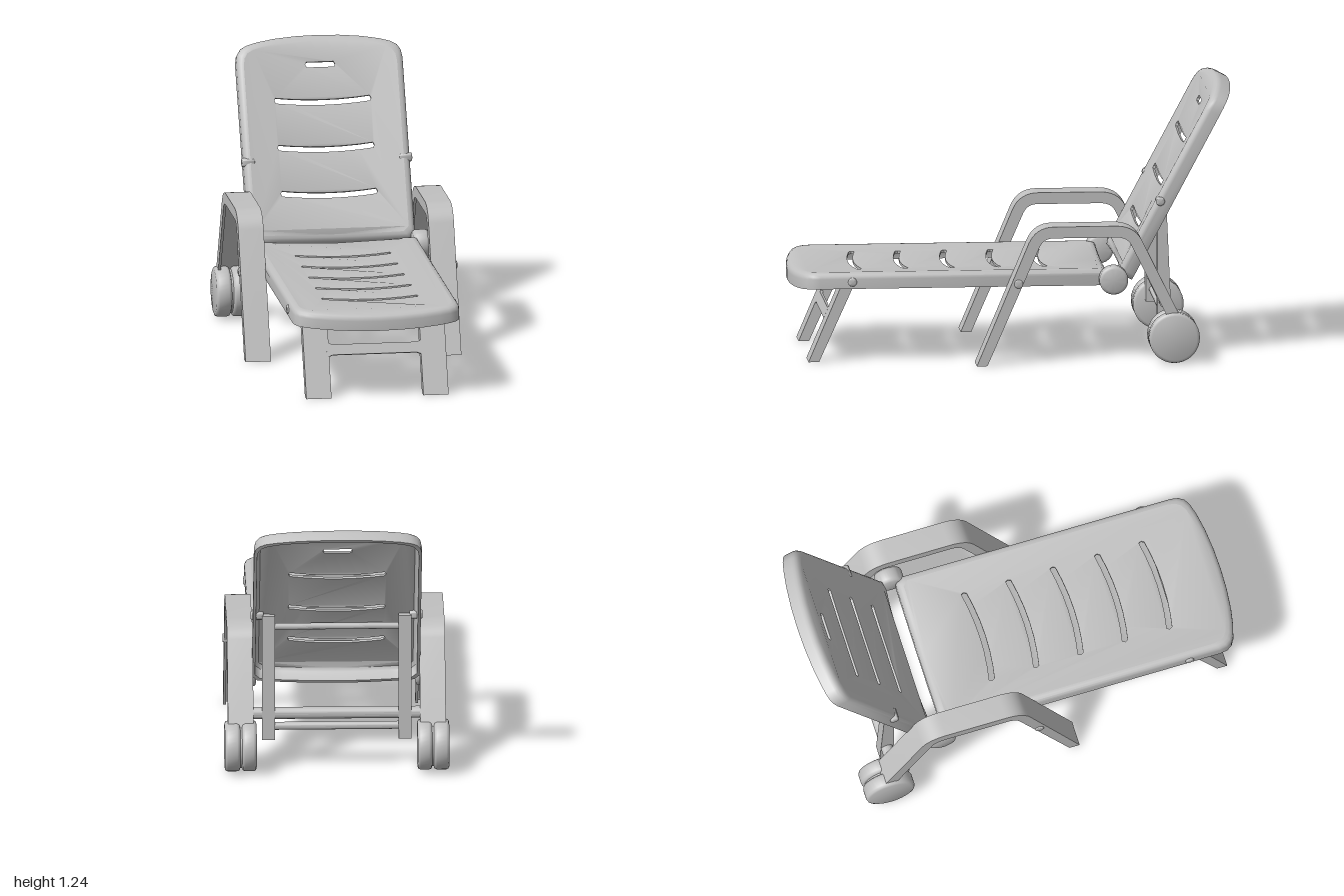
import * as THREE from 'three';
import { toCreasedNormals } from 'three/addons/utils/BufferGeometryUtils.js';

const plastic = new THREE.MeshStandardMaterial({ color: 0xc0c0c0, side: THREE.DoubleSide });
plastic.name = 'grey plastic';

const V = (x, y) => new THREE.Vector2(x, y);

function part(name, geometry, parent, crease = 0.6) {
  const mesh = new THREE.Mesh(toCreasedNormals(geometry, crease), plastic);
  mesh.name = name;
  parent.add(mesh);
  return mesh;
}

// Side profile in (z, y), extruded across x from x0 to x1
function sideExtrude(points, x0, x1) {
  const g = new THREE.ExtrudeGeometry(new THREE.Shape(points), { depth: x1 - x0, bevelEnabled: false });
  return g.rotateY(-Math.PI / 2).translate(x1, 0, 0);
}

// Strip of given thickness following a path on its inner side
function strip(path, thickness) {
  const inner = path.map((p, i) => {
    const a = path[Math.max(i - 1, 0)], b = path[Math.min(i + 1, path.length - 1)];
    const t = b.clone().sub(a).normalize();
    return V(p.x - t.y * thickness, Math.max(0, p.y + t.x * thickness));
  });
  return [...path, ...inner.reverse()];
}

// Hollow U-section: outer web and two side flanges
function channel(name, path, x0, x1, depth, parent) {
  const g = new THREE.Group();
  g.name = name;
  part('web', sideExtrude(strip(path, 0.012), x0, x1), g);
  part('innerFlange', sideExtrude(strip(path, depth), x0, x0 + 0.012), g);
  part('outerFlange', sideExtrude(strip(path, depth), x1 - 0.012, x1), g);
  parent.add(g);
}

// Round-edged disc along x
function disc(name, r, x0, x1, y, z, bevel, parent) {
  const profile = [V(0, x0), V(r - bevel, x0), V(r - bevel * 0.3, x0 + bevel * 0.3), V(r, x0 + bevel),
    V(r, x1 - bevel), V(r - bevel * 0.3, x1 - bevel * 0.3), V(r - bevel, x1), V(0, x1)];
  const g = new THREE.LatheGeometry(profile, 36).rotateZ(-Math.PI / 2);
  part(name, g, parent, 0.9).position.set(0, y, z);
}

function rod(name, r, halfWidth, y, z, parent) {
  const g = new THREE.CylinderGeometry(r, r, halfWidth * 2, 20).rotateZ(Math.PI / 2);
  part(name, g, parent).position.set(0, y, z);
}

// Slot bowed along its length
function slot(s, bow, half = 0.215, w = 0.0125) {
  const xs = [-half, -half * 0.7, -half * 0.35, 0, half * 0.35, half * 0.7, half];
  const mid = (x) => s + bow * (1 - (x / half) ** 2);
  const low = xs.map((x) => V(x, mid(x) - w)), high = xs.map((x) => V(x, mid(x) + w));
  return new THREE.Path([V(-half - 0.006, s), ...low, V(half + 0.006, s), ...high.reverse()]);
}

// Thin slotted panel with a rounded skirt; runs from the hinge along +z
function panel(name, L, holes, parent) {
  const group = new THREE.Group();
  group.name = name;
  const W = 0.38;
  const half = [[0.12, 0], [0.25, 0], [0.355, 0], [W, 0.025], [W, L - 0.12], [0.374, L - 0.085], [0.358, L - 0.06],
    [0.33, L - 0.043], [0.28, L - 0.028], [0.2, L - 0.013], [0.1, L - 0.003]];
  const outline = [[0, 0], ...half, [0, L], ...half.map(([x, s]) => [-x, s]).reverse()];
  const loop = (inset) => outline.map(([x, s]) => V(x * (1 - inset / W), L / 2 + (s - L / 2) * (1 - 2 * inset / L)));
  const dish = (g) => {
    const p = g.attributes.position;
    for (let i = 0; i < p.count; i++) p.setY(i, p.getY(i) - 0.02 * (1 - (p.getX(i) / W) ** 2));
    return g;
  };

  const shape = new THREE.Shape(loop(0.03));
  shape.holes.push(...holes);
  const plate = new THREE.ExtrudeGeometry(shape, { depth: 0.012, bevelEnabled: false });
  part('slottedPlate', dish(plate.rotateX(Math.PI / 2)), group);

  const section = [[0.03, 0], [0.018, -0.003], [0.008, -0.01], [0.002, -0.02], [0, -0.032],
    [0, -0.076], [0.014, -0.076], [0.018, -0.025], [0.03, -0.012]];
  const pos = [], idx = [], n = outline.length;
  section.forEach(([inset, h]) => loop(inset).forEach((p) => pos.push(p.x, h, p.y)));
  for (let r = 0; r < section.length - 1; r++) {
    for (let i = 0; i < n; i++) {
      const j = (i + 1) % n, a = r * n + i, b = r * n + j;
      idx.push(a, b, a + n, b, b + n, a + n);
    }
  }
  const skirt = new THREE.BufferGeometry();
  skirt.setAttribute('position', new THREE.Float32BufferAttribute(pos, 3));
  skirt.setIndex(idx);
  part('skirt', dish(skirt), group, 0.8);
  parent.add(group);
  return group;
}

export function createModel() {
  const model = new THREE.Group();
  model.name = 'sunLounger';

  // Seat and reclined back
  const seatSlots = [0.28, 0.49, 0.70, 0.91, 1.12].map((s) => slot(s, 0.022));
  panel('seat', 1.43, seatSlots, model).position.set(0, 0.42, -0.43);
  const backSlots = [0.225, 0.44, 0.66].map((s) => slot(s, -0.012));
  const back = panel('backrest', 0.97, [...backSlots, slot(0.825, 0, 0.062)], model);
  back.position.set(0, 0.4, -0.465);
  back.rotation.set(THREE.MathUtils.degToRad(62), Math.PI, 0);

  // Armrest path: front foot, over the top, down to the wheel
  const armPath = new THREE.Path();
  armPath.moveTo(0.18, 0);
  armPath.lineTo(-0.055, 0.56);
  armPath.quadraticCurveTo(-0.088, 0.635, -0.17, 0.635);
  armPath.lineTo(-0.45, 0.635);
  armPath.quadraticCurveTo(-0.53, 0.635, -0.565, 0.575);
  armPath.lineTo(-0.77, 0.16);
  const armPoints = armPath.getPoints(8);

  for (const side of [1, -1]) {
    const g = new THREE.Group();
    g.name = side > 0 ? 'leftSide' : 'rightSide';
    if (side < 0) g.rotation.y = 0;
    const span = (a, b) => (side > 0 ? [a, b] : [-b, -a]);
    channel('armrest', armPoints, ...span(0.377, 0.493), 0.052, g);
    channel('frontLeg', [V(0.93, 0), V(0.777, 0.36)], ...span(0.21, 0.325), 0.052, g);
    part('backProp', sideExtrude([V(-0.652, 0.73), V(-0.692, 0.73), V(-0.718, 0.145), V(-0.652, 0.145)],
      ...span(0.28, 0.338)), g);

    // Two-part wheel with a groove
    disc('innerWheel', 0.115, ...span(0.364, 0.43), 0.117, -0.717, 0.014, g);
    disc('wheelHub', 0.1, ...span(0.42, 0.45), 0.117, -0.717, 0.002, g);
    disc('outerWheel', 0.115, ...span(0.438, 0.508), 0.117, -0.717, 0.014, g);

    disc('hinge', 0.065, ...span(0.36, 0.432), 0.372, -0.448, 0.014, g);
    disc('legPivot', 0.02, ...span(0.36, 0.387), 0.375, 0.735, 0.005, g);
    disc('armPivot', 0.02, ...span(0.47, 0.5), 0.375, -0.01, 0.005, g);
    disc('propPivot', 0.02, ...span(0.33, 0.389), 0.725, -0.662, 0.005, g);
    model.add(g);
  }

  // Flared brace between the front legs, leaning with them
  const brace = new THREE.Shape([V(-0.22, -0.04), V(-0.208, -0.03), V(-0.19, -0.024), V(0.19, -0.024),
    V(0.208, -0.03), V(0.22, -0.04), V(0.22, 0.04), V(0.208, 0.03), V(0.19, 0.024), V(-0.19, 0.024),
    V(-0.208, 0.03), V(-0.22, 0.04)]);
  const braceMesh = part('legBrace', new THREE.ExtrudeGeometry(brace, { depth: 0.014, bevelEnabled: false }), model);
  braceMesh.position.set(0, 0.2, 0.83);
  braceMesh.rotation.x = -0.4;

  // Cross rods
  rod('legRod', 0.013, 0.37, 0.372, 0.735, model);
  rod('armRod', 0.013, 0.48, 0.372, -0.01, model);
  rod('rearRod', 0.027, 0.385, 0.262, -0.685, model);
  rod('upperPropRod', 0.015, 0.29, 0.675, -0.672, model);
  rod('lowerPropRod', 0.018, 0.29, 0.2, -0.685, model);
  return model;
}
